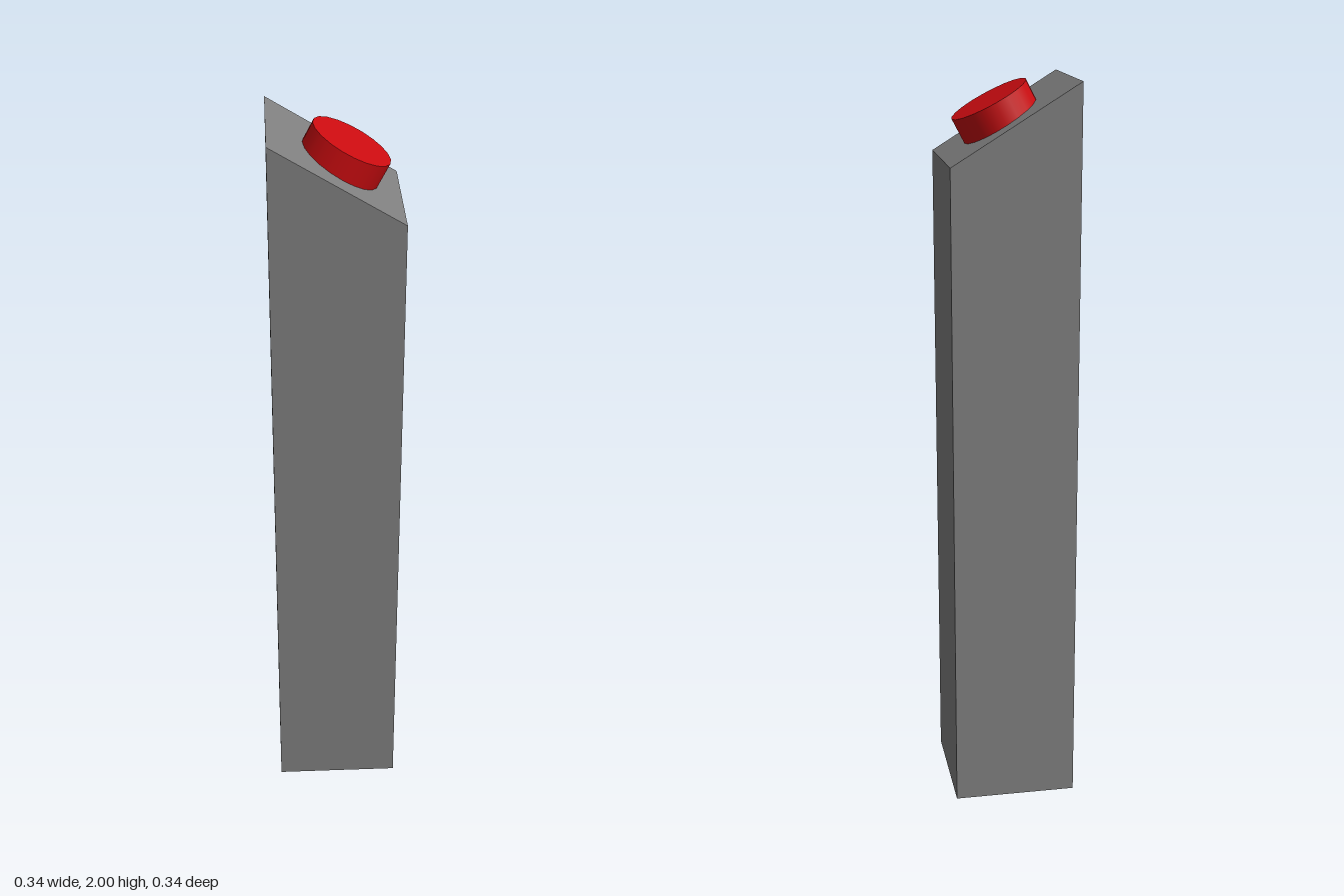
import * as THREE from 'three';

export function createModel() {
  const group = new THREE.Group();
  const half = 0.169, lowY = 1.793, highY = 2;

  // Square post with a sloped top, extruded from its front outline
  const outline = new THREE.Shape([
    new THREE.Vector2(-half, 0),
    new THREE.Vector2(half, 0),
    new THREE.Vector2(half, lowY),
    new THREE.Vector2(-half, highY),
  ]);
  const postGeometry = new THREE.ExtrudeGeometry(outline, { depth: half * 2, bevelEnabled: false });
  postGeometry.translate(0, 0, -half);
  const post = new THREE.Mesh(postGeometry, new THREE.MeshStandardMaterial({ color: 0x808080 }));
  post.name = 'post';
  group.add(post);

  // Round push button, tilted towards the low side and sunk into the slope
  const height = 0.1;
  const buttonGeometry = new THREE.CylinderGeometry(0.109, 0.109, height, 20);
  buttonGeometry.translate(0, -height / 2, 0); // origin at the pressing face
  const button = new THREE.Mesh(buttonGeometry, new THREE.MeshStandardMaterial({ color: 0xcc0c10 }));
  button.name = 'button';
  button.position.set(0.043, 1.944, 0);
  button.rotation.z = -THREE.MathUtils.degToRad(27.7);
  group.add(button);

  return group;
}
